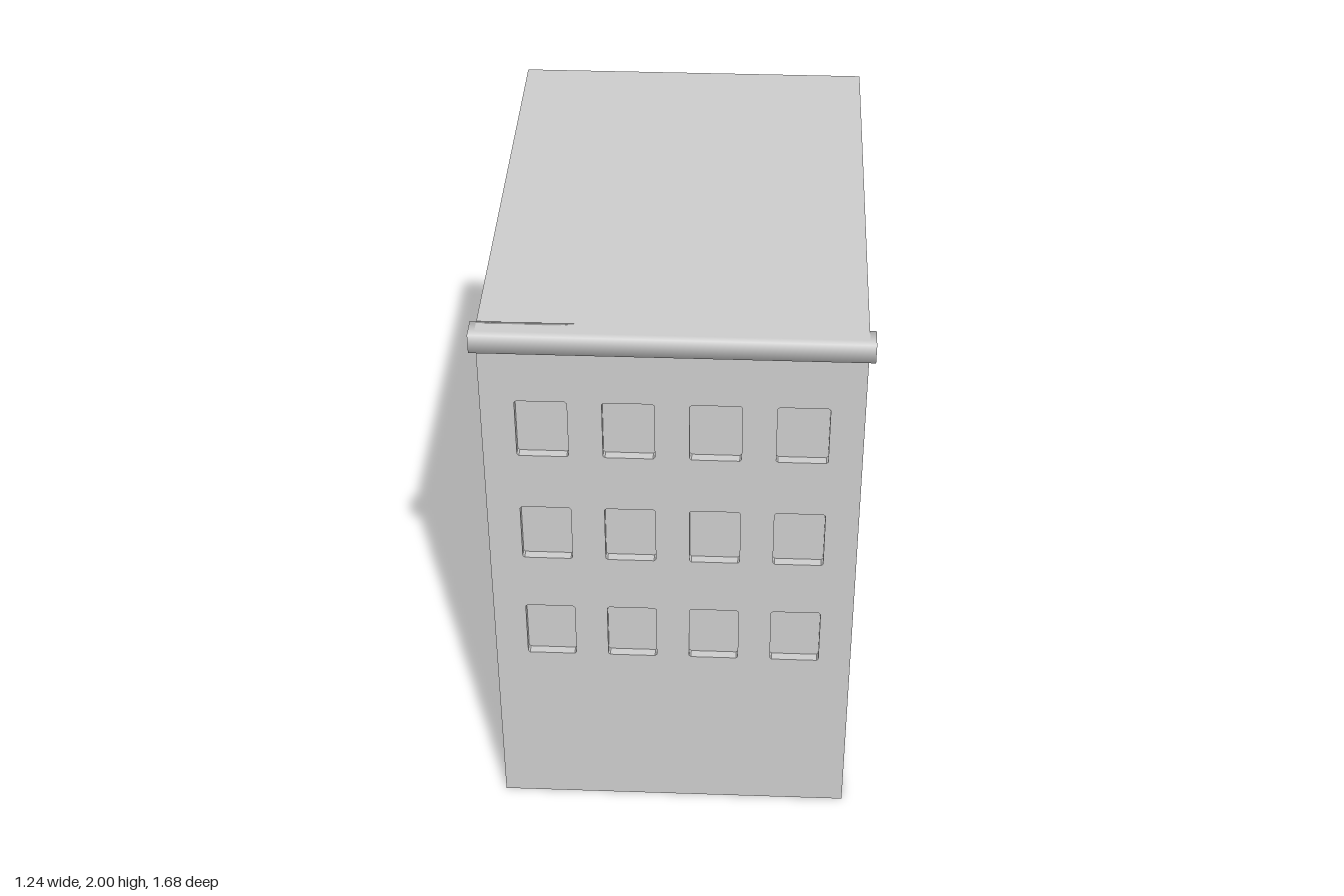
import * as THREE from 'three';
import { mergeGeometries } from 'three/addons/utils/BufferGeometryUtils.js';

const W = 1.2, H = 2, FRONT = 0.815, BACK = -0.84;
const DEPTH = FRONT - BACK, MID = (FRONT + BACK) / 2;
const WIN_W = 0.164, WIN_H = 0.215, RECESS = 0.03;

// Window outline with slightly clipped corners, counter-clockwise
function windowPoints(cx, cy) {
  const a = WIN_W / 2, b = WIN_H / 2, c = 0.006;
  return [
    [-a + c, -b], [a - c, -b], [a, -b + c], [a, b - c],
    [a - c, b], [-a + c, b], [-a, b - c], [-a, -b + c],
  ].map(([x, y]) => new THREE.Vector2(cx + x, cy + y));
}

// Inward-facing band joining the wall to the recessed pane
function revealGeometry(points) {
  const pos = [];
  points.forEach((a, i) => {
    const b = points[(i + 1) % points.length];
    const z0 = FRONT - RECESS, z1 = FRONT;
    pos.push(a.x, a.y, z0, b.x, b.y, z1, b.x, b.y, z0);
    pos.push(a.x, a.y, z0, a.x, a.y, z1, b.x, b.y, z1);
  });
  const g = new THREE.BufferGeometry();
  g.setAttribute('position', new THREE.Float32BufferAttribute(pos, 3));
  g.computeVertexNormals();
  return g;
}

export function createModel() {
  const model = new THREE.Group();
  model.name = 'building';
  const stone = new THREE.MeshStandardMaterial({ color: 0xcccccc, side: THREE.DoubleSide });
  stone.name = 'greyStone';

  const add = (name, geometry) => {
    const mesh = new THREE.Mesh(geometry, stone);
    mesh.name = name;
    model.add(mesh);
    return mesh;
  };

  // Front wall with a grid of window openings
  const wall = new THREE.Shape([
    new THREE.Vector2(-W / 2, 0), new THREE.Vector2(W / 2, 0),
    new THREE.Vector2(W / 2, H), new THREE.Vector2(-W / 2, H),
  ]);
  const panes = [], reveals = [];
  for (const y of [0.78, 1.205, 1.63]) {
    for (const x of [-0.41, -0.137, 0.137, 0.41]) {
      const points = windowPoints(x, y);
      wall.holes.push(new THREE.Path(points));
      panes.push(new THREE.ShapeGeometry(new THREE.Shape(points)).translate(0, 0, FRONT - RECESS));
      reveals.push(revealGeometry(points));
    }
  }
  add('frontWall', new THREE.ShapeGeometry(wall).translate(0, 0, FRONT));
  add('windowPanes', mergeGeometries(panes));
  add('windowReveals', mergeGeometries(reveals));

  // Remaining walls and roof; the shell is open underneath
  for (const [name, side] of [['leftWall', 1], ['rightWall', -1]]) {
    add(name, new THREE.PlaneGeometry(DEPTH, H).rotateY(side * Math.PI / 2)
      .translate(side * W / 2, H / 2, MID));
  }
  add('backWall', new THREE.PlaneGeometry(W, H).rotateY(Math.PI).translate(0, H / 2, BACK));
  add('roof', new THREE.PlaneGeometry(W, DEPTH).rotateX(-Math.PI / 2).translate(0, H, MID));

  // Cornice: square bar with softly shaded long edges and flat ends
  const cornice = new THREE.CylinderGeometry(Math.SQRT1_2, Math.SQRT1_2, 1.24, 4)
    .rotateY(Math.PI / 4).rotateZ(Math.PI / 2)
    .scale(1, 0.066, 0.076).translate(0, H - 0.033, 0.802);
  add('cornice', cornice);

  return model;
}
